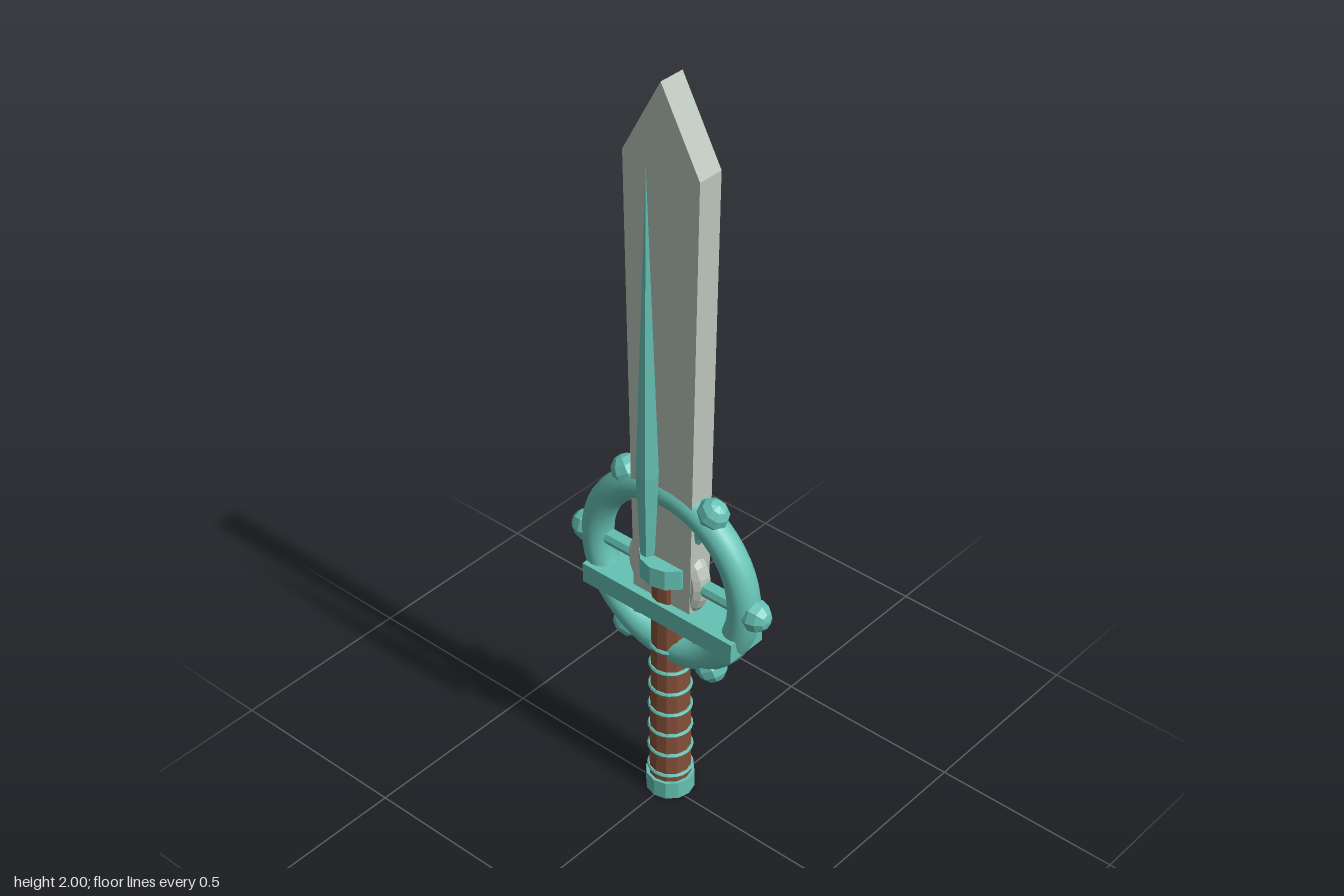
import * as THREE from 'three';

export function createModel() {
  const model = new THREE.Group();
  const mat = (name, color, flat = false) => {
    const m = new THREE.MeshStandardMaterial({ color, flatShading: flat });
    m.name = name;
    return m;
  };
  const teal = mat('teal metal', 0x66c2b5, true);
  const steel = mat('pale steel', 0xbcc6bc, true);
  const leather = mat('brown leather', 0x85503a, true);
  const add = (name, geometry, material, x = 0, y = 0, z = 0, parent = model) => {
    const mesh = new THREE.Mesh(geometry, material);
    mesh.name = name;
    mesh.position.set(x, y, z);
    parent.add(mesh);
    return mesh;
  };
  const Z = -0.015; // depth of the sword's axis

  // Slab blade, widening towards a pointed tip
  const outline = new THREE.Shape();
  outline.moveTo(-0.088, 0.61);
  outline.lineTo(0.088, 0.61);
  outline.lineTo(0.11, 1.8);
  outline.lineTo(0, 2);
  outline.lineTo(-0.11, 1.8);
  outline.closePath();
  add('blade', new THREE.ExtrudeGeometry(outline, { depth: 0.07, bevelEnabled: false }), steel, 0, 0, -0.052);

  // Six-sided spike floating before the blade
  const spike = [[0, 0.785], [0.018, 0.785], [0.028, 1.015], [0, 1.825]]
    .map(([r, y]) => new THREE.Vector2(r, y));
  const spikeMesh = add('spike', new THREE.LatheGeometry(spike, 6), teal, 0, 0, 0.066);
  spikeMesh.rotation.y = Math.PI / 2;

  // Grip with wound rings, pommel and collar
  add('grip', new THREE.CylinderGeometry(0.046, 0.054, 0.65, 12), leather, 0, 0.365, Z);
  for (let i = 0; i < 7; i++) {
    const ring = add('gripRing', new THREE.TorusGeometry(0.053 - i * 0.0008, 0.006, 6, 20), teal, 0, 0.07 + i * 0.066, Z);
    ring.rotation.x = Math.PI / 2;
  }
  add('pommel', new THREE.CylinderGeometry(0.062, 0.062, 0.05, 12), teal, 0, 0.025, Z);
  add('collar', new THREE.CylinderGeometry(0.077, 0.077, 0.055, 12), teal, 0, 0.71, -0.017);
  add('crossguard', new THREE.BoxGeometry(0.47, 0.055, 0.115), teal, 0, 0.588, -0.0175);

  // Guard wheel: rim, pale hub, spokes and knobs
  const wheel = new THREE.Group();
  wheel.name = 'guardWheel';
  wheel.position.set(0, 0.69, -0.012);
  model.add(wheel);
  const smoothTeal = teal.clone();
  smoothTeal.flatShading = false;
  smoothTeal.name = 'smooth teal metal';
  add('rim', new THREE.TorusGeometry(0.23, 0.04, 16, 48), smoothTeal, 0, 0, 0, wheel);
  add('hub', new THREE.TorusGeometry(0.09, 0.03, 10, 24), steel, 0, 0, 0, wheel);
  for (let i = 0; i < 6; i++) {
    const arm = new THREE.Group();
    arm.name = 'spokeArm';
    arm.rotation.z = i * Math.PI / 3 - Math.PI / 2;
    wheel.add(arm);
    add('spoke', new THREE.CylinderGeometry(0.02, 0.02, 0.2, 8), teal, 0, 0.11, 0, arm);
    const knob = add('knob', new THREE.SphereGeometry(0.042, 8, 6), teal, 0, 0.264, 0, arm);
    knob.scale.set(1, 0.98, 0.9);
  }
  return model;
}
